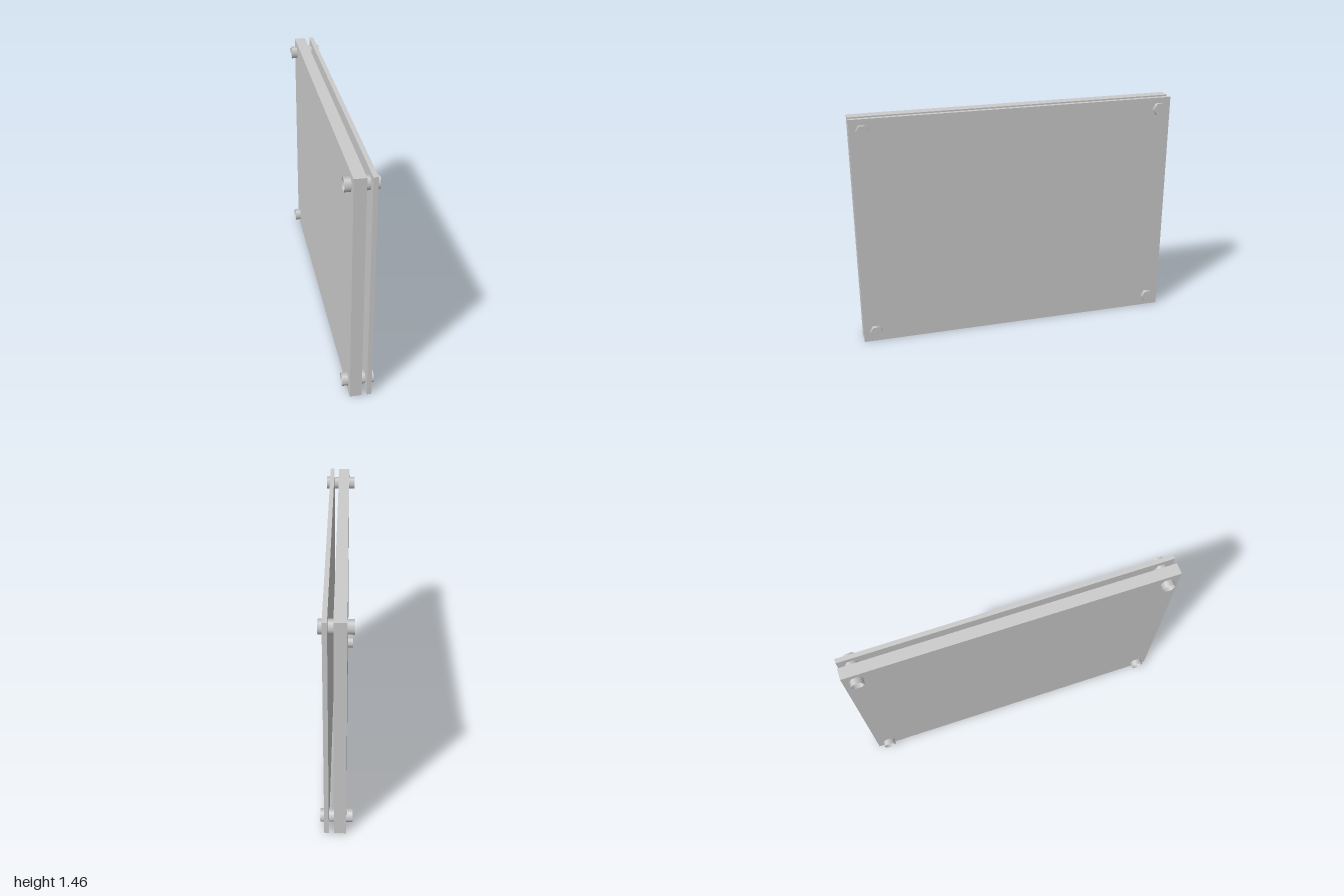
import * as THREE from 'three';

const HEIGHT = 1.455;
const DEPTH = 2;

export function createModel() {
  const model = new THREE.Group();
  model.name = 'panelAssembly';
  const grey = new THREE.MeshStandardMaterial({ color: 0xcccccc });
  const greyOpen = new THREE.MeshStandardMaterial({ color: 0xcccccc, side: THREE.DoubleSide });

  // Upright panels, given by their x extents
  const addPanel = (name, x0, x1) => {
    const panel = new THREE.Mesh(new THREE.BoxGeometry(x1 - x0, HEIGHT, DEPTH), grey);
    panel.name = name;
    panel.position.set((x0 + x1) / 2, HEIGHT / 2, 0);
    model.add(panel);
  };
  addPanel('backingPanel', -0.058, 0.012);
  addPanel('coverPanel', 0.043, 0.07);

  // Hexagonal corner standoffs: smooth tube, open at -x and capped at +x
  const x0 = -0.095, x1 = 0.094, radius = 0.04, inset = 0.07;
  const tube = new THREE.CylinderGeometry(radius, radius, x1 - x0, 6, 1, true)
    .rotateZ(-Math.PI / 2).translate((x0 + x1) / 2, 0, 0);
  const cap = new THREE.CircleGeometry(radius, 6).rotateY(Math.PI / 2).translate(x1, 0, 0);

  for (const y of [inset, HEIGHT - inset]) {
    for (const z of [-0.923, 0.923]) {
      const standoff = new THREE.Group();
      standoff.name = 'cornerStandoff';
      const body = new THREE.Mesh(tube, greyOpen);
      body.name = 'standoffTube';
      const end = new THREE.Mesh(cap, greyOpen);
      end.name = 'standoffCap';
      standoff.add(body, end);
      standoff.position.set(0, y, z);
      model.add(standoff);
    }
  }
  return model;
}
